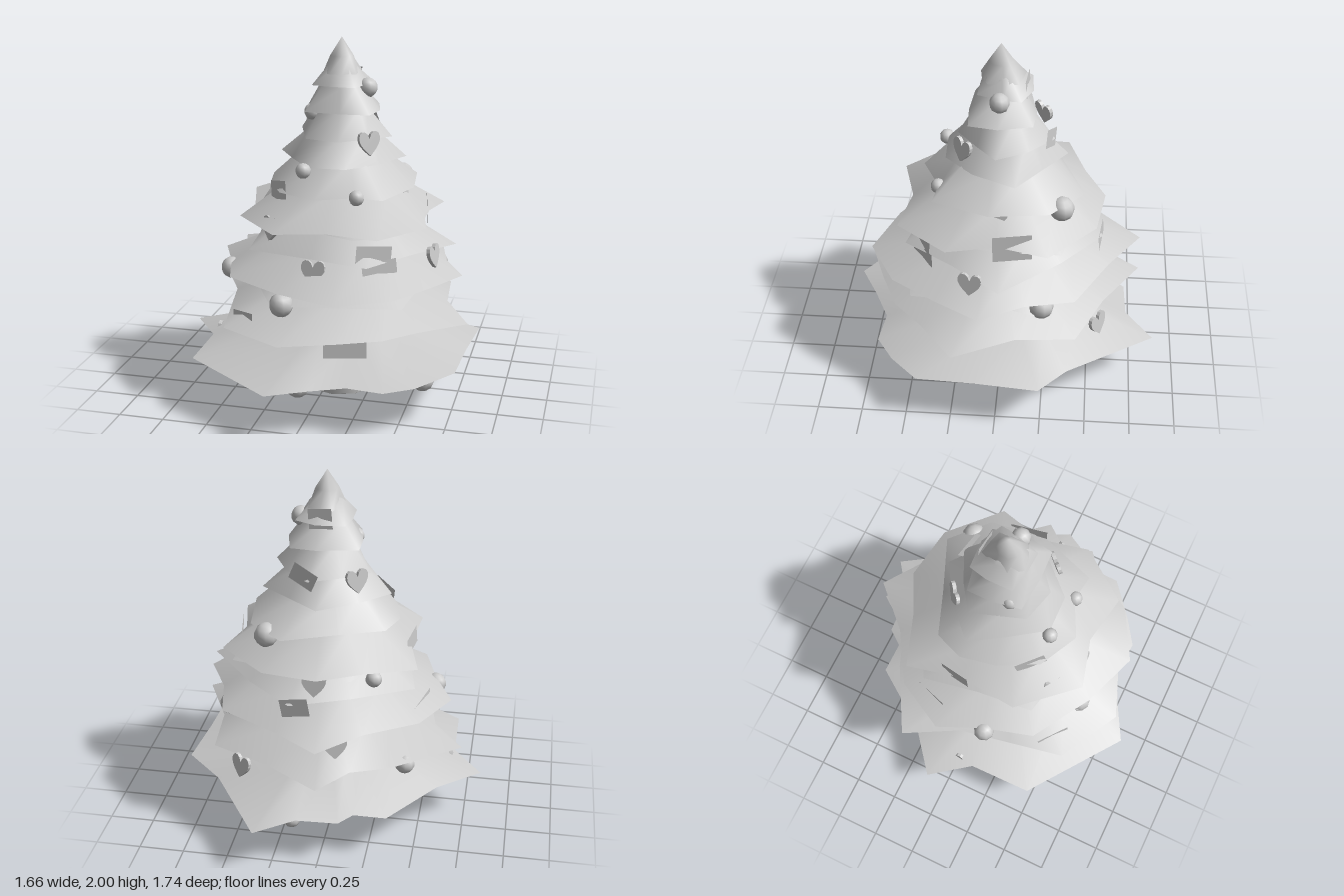
import * as THREE from 'three';

const CX = 0.065, CZ = 0.01; // trunk axis
const grey = new THREE.MeshStandardMaterial({ color: 0xcccccc });
const thin = new THREE.MeshStandardMaterial({ color: 0xcccccc, side: THREE.DoubleSide });

function seeded(seed) {
  return () => (seed = (seed * 16807) % 2147483647) / 2147483647;
}

function add(group, name, geometry, x = 0, y = 0, z = 0, material = grey) {
  const mesh = new THREE.Mesh(geometry, material);
  mesh.name = name;
  mesh.position.set(x, y, z);
  group.add(mesh);
  return mesh;
}

// Ragged star outline fitted into the given x and z limits
function starRim(n, x0, x1, z0, z1, seed) {
  const rnd = seeded(seed * 7919 + 13);
  const phase = rnd() * Math.PI;
  const pts = [];
  for (let i = 0; i < n; i++) {
    const a = phase + (i + (rnd() - 0.5) * 0.3) / n * Math.PI * 2;
    const r = (i % 2 ? 0.82 : 1) - rnd() * 0.06;
    pts.push([Math.cos(a) * r, Math.sin(a) * r]);
  }
  const fit = (k, lo, hi) => {
    const v = pts.map((p) => p[k]);
    const min = Math.min(...v), max = Math.max(...v);
    pts.forEach((p) => { p[k] = lo + (p[k] - min) / (max - min) * (hi - lo); });
  };
  fit(0, x0, x1);
  fit(1, z0, z1);
  return pts;
}

// One skirt of branches: star rim (x, z and an optional lift), round shoulder, apex
function tierGeometry(y, rim, top) {
  const n = rim.length, rings = [[], []];
  const dist = rim.map(([x, z]) => Math.hypot(x - CX, z - CZ));
  const shoulder = 0.57 * dist.reduce((a, b) => a + b) / n;
  rim.forEach(([x, z, lift = 0], i) => {
    const s = Math.min(shoulder / dist[i], 0.75);
    rings[0].push(x, y + lift, z);
    rings[1].push(CX + (x - CX) * s, y + (top - y) * 0.47, CZ + (z - CZ) * s);
  });
  const index = [];
  for (let i = 0; i < n; i++) {
    const j = (i + 1) % n;
    index.push(i, n + i, j, j, n + i, n + j, n + i, 2 * n, n + j);
  }
  const g = new THREE.BufferGeometry();
  g.setAttribute('position', new THREE.Float32BufferAttribute([...rings[0], ...rings[1], CX, top, CZ], 3));
  g.setIndex(index);
  g.computeVertexNormals();
  return g;
}

function heartGeometry() {
  const s = new THREE.Shape();
  s.moveTo(0, -0.07);
  s.bezierCurveTo(0.03, -0.04, 0.07, -0.01, 0.065, 0.03);
  s.bezierCurveTo(0.06, 0.07, 0.01, 0.07, 0, 0.02);
  s.bezierCurveTo(-0.01, 0.07, -0.06, 0.07, -0.065, 0.03);
  s.bezierCurveTo(-0.07, -0.01, -0.03, -0.04, 0, -0.07);
  return new THREE.ExtrudeGeometry(s, { depth: 0.02, curveSegments: 5, bevelEnabled: false }).translate(0, 0, -0.01);
}

// Turn an ornament away from the trunk
function faceOutward(mesh, lean, roll) {
  const { x, z } = mesh.position;
  mesh.rotation.set(lean, Math.atan2(x - CX, z - CZ), roll, 'YXZ');
}

export function createModel() {
  const tree = new THREE.Group();
  tree.name = 'decoratedTree';

  // Pot and trunk
  const pot = [[0, 0], [0.205, 0], [0.205, 0.001], [0.217, 0.08], [0.218, 0.18], [0.205, 0.26], [0.17, 0.36], [0.169, 0.361], [0, 0.361]];
  add(tree, 'pot', new THREE.LatheGeometry(pot.map((p) => new THREE.Vector2(...p)), 10), CX, 0, CZ);
  add(tree, 'trunk', new THREE.CylinderGeometry(0.01, 0.03, 1.2, 8), CX, 0.92, CZ);

  // Wide skirts with their own outlines
  const lowest = [[0.83, -0.24, 0.04], [0.8, 0.1, 0.04], [0.785, 0.43, 0.04], [0.6, 0.59], [0.45, 0.69], [0.25, 0.67],
    [0.06, 0.76], [-0.14, 0.87], [-0.665, 0.49], [-0.67, 0.13], [-0.835, -0.09], [-0.6, -0.28], [-0.36, -0.62],
    [-0.18, -0.62], [-0.11, -0.71], [0.12, -0.72], [0.325, -0.87], [0.63, -0.39]];
  const third = [[0.82, 0.23], [0.58, 0.42], [0.42, 0.58], [0.2, 0.68], [-0.09, 0.79], [-0.44, 0.6], [-0.5, 0.3],
    [-0.56, 0], [-0.73, -0.29, 0.04], [-0.36, -0.5], [-0.15, -0.58], [0, -0.78], [0.3, -0.58], [0.63, -0.43], [0.66, -0.1]];
  const fifth = [[0.765, 0.09], [0.63, 0.33], [0.47, 0.58], [0.19, 0.735], [-0.13, 0.62], [-0.46, 0.42], [-0.54, 0.15],
    [-0.65, -0.1], [-0.5, -0.38], [-0.22, -0.55], [0, -0.775], [0.25, -0.6], [0.58, -0.42], [0.64, -0.15]];
  const eighth = [[0.6, -0.27], [0.53, 0], [0.59, 0.27], [0.38, 0.55], [0.1, 0.5], [-0.17, 0.575], [-0.44, 0.28],
    [-0.41, -0.05], [-0.48, -0.35], [-0.2, -0.45], [0.03, -0.565], [0.33, -0.52]];
  const ninth = [[0.44, -0.27], [0.48, 0.05], [0.37, 0.36], [0.22, 0.34], [0.02, 0.44], [-0.2, 0.33], [-0.31, 0.12],
    [-0.35, -0.08], [-0.29, -0.24], [-0.05, -0.33], [0.24, -0.45]];
  // rim height, outline, apex height
  const tiers = [
    [0.26, lowest, 0.54],
    [0.43, [9, -0.45, 0.57, -0.56, 0.57], 0.75],
    [0.505, third, 0.82],
    [0.65, [10, -0.47, 0.62, -0.6, 0.6], 0.98],
    [0.73, fifth, 1.06],
    [0.875, [10, -0.46, 0.71, -0.56, 0.52], 1.22],
    [1.005, [9, -0.4, 0.53, -0.48, 0.47], 1.35],
    [1.04, eighth, 1.4],
    [1.2, ninth, 1.55],
    [1.34, [9, -0.3, 0.41, -0.35, 0.31], 1.68],
    [1.47, [9, -0.19, 0.35, -0.28, 0.24], 1.8],
    [1.61, [8, -0.13, 0.28, -0.18, 0.18], 1.88],
    [1.745, [8, -0.08, 0.22, -0.16, 0.13], 1.93],
    [1.81, [9, -0.03, 0.16, -0.12, 0.12], 2],
  ];
  tiers.forEach(([y, outline, top], i) => {
    const rim = Array.isArray(outline[0]) ? outline : starRim(...outline, i + 1);
    add(tree, 'branchTier' + (i + 1), tierGeometry(y, rim, top), 0, 0, 0, thin);
  });

  // Round baubles: x, y, z, radius
  const ball = new THREE.SphereGeometry(1, 9, 7);
  [[-0.02, 0.235, 0.64, 0.066], [0.61, 0.24, 0.41, 0.066], [0.15, 0.235, -0.67, 0.048], [-0.54, 0.69, 0.15, 0.06],
    [-0.13, 0.65, 0.56, 0.066], [0.57, 0.68, -0.24, 0.068], [0.22, 0.725, 0.54, 0.035], [-0.43, 0.48, -0.4, 0.055],
    [-0.07, 1.325, 0.32, 0.042], [0.225, 1.2, 0.34, 0.042], [0.34, 1.17, -0.33, 0.068], [0.21, 1.73, 0.01, 0.054],
    [-0.08, 1.6, 0.09, 0.045], [-0.25, 0.98, -0.38, 0.045],
  ].forEach(([x, y, z, r]) => add(tree, 'bauble', ball, x, y, z).scale.setScalar(r));

  // Hanging hearts
  const heart = heartGeometry();
  [[0.26, 1.47, 0.2], [-0.22, 1.03, 0.42], [0.03, 0.83, 0.5], [0.61, 0.85, 0.14], [0.42, 1.17, 0.01],
    [0.45, 0.47, -0.55], [0.7, 0.26, -0.21], [-0.66, 0.25, 0], [-0.13, 1.47, -0.21], [0.05, 0.99, -0.51],
    [-0.07, 0.65, -0.56],
  ].forEach(([x, y, z]) => faceOutward(add(tree, 'heart', heart, x, y, z), -0.15, 0));

  // Flat gift cards: x, y, z, width, height, tilt
  [[0.22, 0.435, 0.57, 0.23, 0.1, 0], [-0.36, 0.52, 0.51, 0.19, 0.1, 0.15], [0.34, 0.92, 0.43, 0.2, 0.1, -0.1],
    [0.37, 0.845, 0.42, 0.2, 0.08, 0.1], [0.535, 1.04, -0.08, 0.21, 0.155, 0], [0.15, 1.49, -0.26, 0.15, 0.1, -0.4],
    [-0.22, 1.2, 0.28, 0.17, 0.1, 0.2], [0.08, 1.77, -0.13, 0.13, 0.11, 0.1], [0.15, 0.86, -0.55, 0.16, 0.1, 0.2],
    [-0.5, 0.74, -0.2, 0.2, 0.09, 0.2], [-0.42, 1.07, -0.08, 0.17, 0.1, 0.1],
  ].forEach(([x, y, z, w, h, tilt]) => {
    faceOutward(add(tree, 'giftCard', new THREE.PlaneGeometry(w, h), x, y, z, thin), -0.05, tilt);
  });

  return tree;
}
